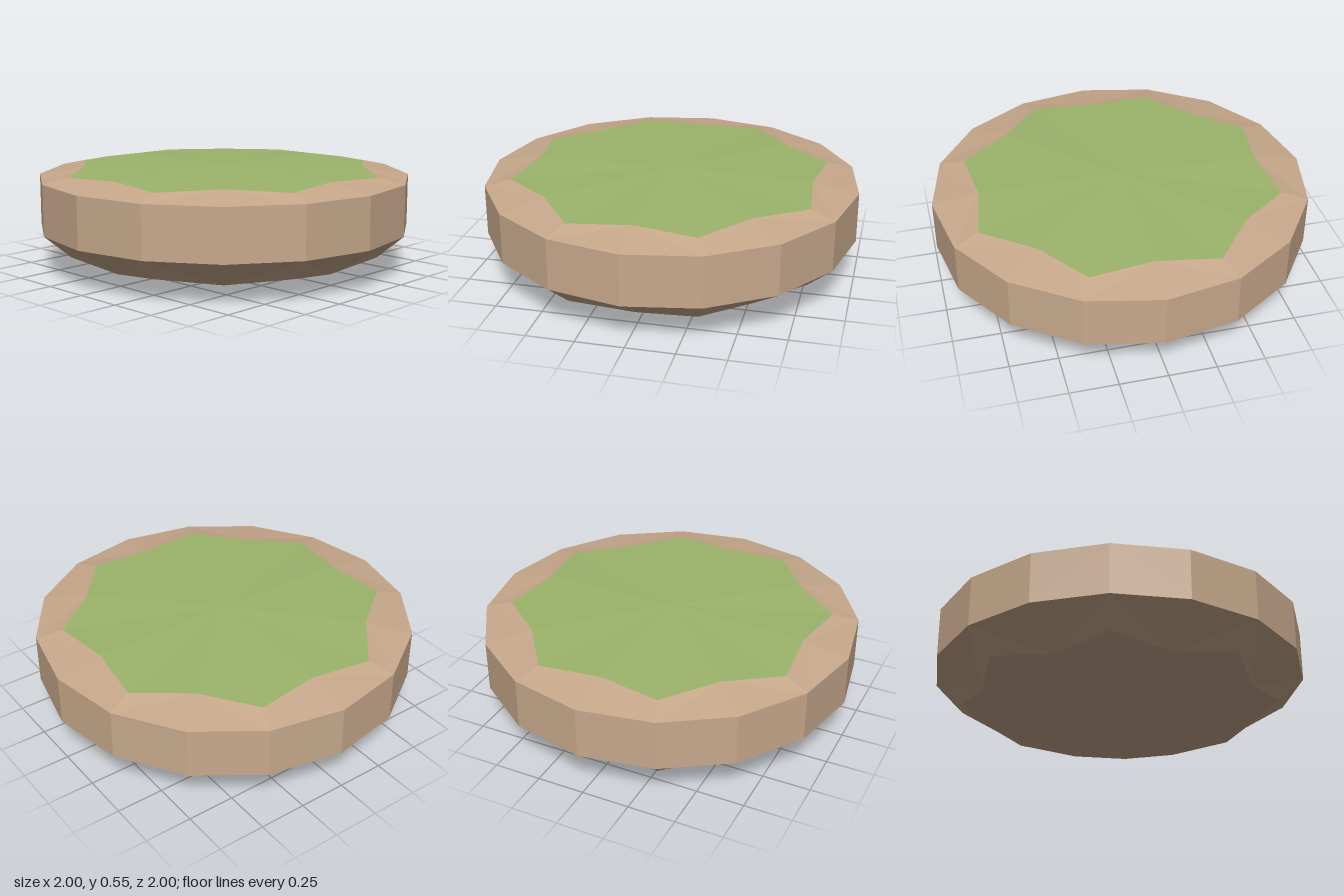
import * as THREE from 'three';

const SIDES = 16;
const TWIST = 0.02;

// Ring of points; odd points may differ from even ones in radius and height
function ring(evenR, evenY, oddR = evenR, oddY = evenY) {
  return Array.from({ length: SIDES }, (_, i) => {
    const a = (i / SIDES) * Math.PI * 2 + TWIST;
    const r = i % 2 ? oddR : evenR;
    return new THREE.Vector3(Math.sin(a) * r, i % 2 ? oddY : evenY, -Math.cos(a) * r);
  });
}

// Band of faces between an upper and a lower ring, facing outward
function band(upper, lower, flip = false) {
  const tris = [];
  for (let i = 0; i < SIDES; i++) {
    const j = (i + 1) % SIDES;
    // alternate the diagonal so that the facets mirror about each point
    if ((i % 2 === 0) !== flip) tris.push(upper[i], upper[j], lower[i], upper[j], lower[j], lower[i]);
    else tris.push(upper[i], upper[j], lower[j], upper[i], lower[j], lower[i]);
  }
  return tris;
}

// Fan of faces from a ring to a centre point
function fan(points, y, up) {
  const centre = new THREE.Vector3(0, y, 0);
  return points.flatMap((p, i) => {
    const q = points[(i + 1) % SIDES];
    return up ? [centre, q, p] : [centre, p, q];
  });
}

function mesh(name, tris, color) {
  const geometry = new THREE.BufferGeometry().setFromPoints(tris);
  geometry.computeVertexNormals();
  const part = new THREE.Mesh(geometry, new THREE.MeshStandardMaterial({ color, flatShading: true }));
  part.name = name;
  return part;
}

export function createModel() {
  const group = new THREE.Group();
  group.name = 'grassDisc';
  const earth = 0xc8a98c;

  const grassEdge = ring(0.755, 0.53, 0.86, 0.52);
  const topRim = ring(1, 0.49);
  const lowRim = ring(1, 0.22);
  const baseEdge = ring(0.755, 0.06, 0.86, 0.1);

  // Star-edged grass, slightly domed
  group.add(mesh('grassTop', fan(grassEdge, 0.545, true), 0x9cb46b));
  // Earth around the grass, the upright side, and the sloping underside
  group.add(mesh('topBevel', band(grassEdge, topRim, true), earth));
  group.add(mesh('side', band(topRim, lowRim), earth));
  group.add(mesh('lowerBevel', band(lowRim, baseEdge), earth));
  group.add(mesh('underside', fan(baseEdge, 0, false), earth));
  return group;
}
